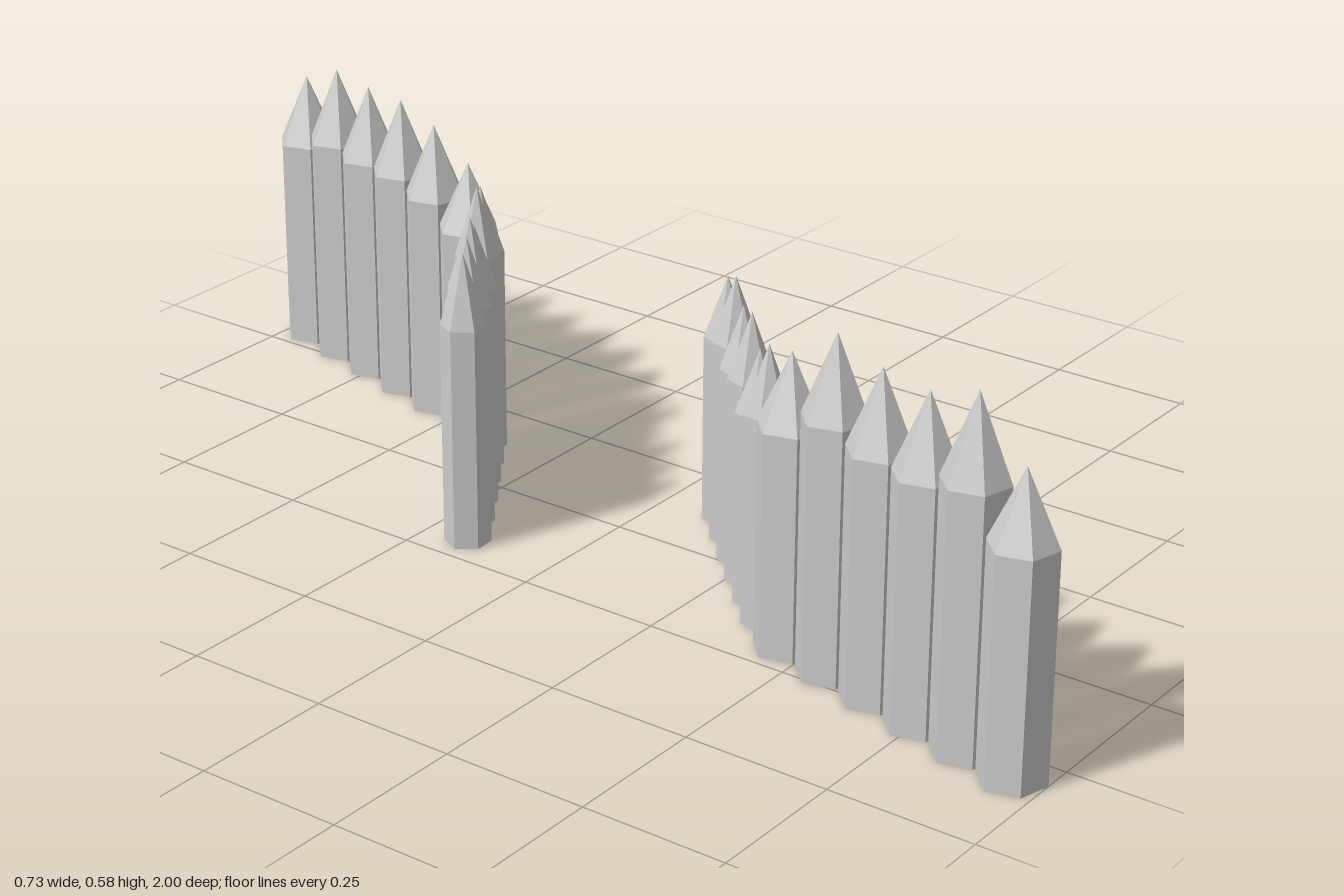
import * as THREE from 'three';

const material = new THREE.MeshStandardMaterial({ color: 0xcccccc, flatShading: true });
const SHOULDER = 0.757; // where the point starts, as a share of the stake height

// One six-sided stake with a closed foot and a sharpened top
function makeStake(radius, height) {
  const profile = [
    new THREE.Vector2(0, 0),
    new THREE.Vector2(radius, 0),
    new THREE.Vector2(radius, height * SHOULDER),
    new THREE.Vector2(0, height),
  ];
  const stake = new THREE.Mesh(new THREE.LatheGeometry(profile, 6), material);
  stake.name = 'stake';
  return stake;
}

// A straight run of stakes from one [x, z] to another, flat sides facing along the run
function makeRun(name, from, to, radius, heights) {
  const run = new THREE.Group();
  run.name = name;
  const turn = -Math.atan2(to[1] - from[1], to[0] - from[0]);
  heights.forEach((height, i) => {
    const t = i / (heights.length - 1);
    const stake = makeStake(radius, height);
    stake.position.set(
      THREE.MathUtils.lerp(from[0], to[0], t), 0,
      THREE.MathUtils.lerp(from[1], to[1], t));
    stake.rotation.y = turn;
    run.add(stake);
  });
  return run;
}

export function createModel() {
  const model = new THREE.Group();
  model.name = 'palisade';
  const THICK = 0.055, THIN = 0.039;

  // Front wall: thick outer stakes, then thin stakes beside the gap
  const frontWall = new THREE.Group();
  frontWall.name = 'frontWall';
  frontWall.add(
    makeRun('frontOuterRun', [-0.315, 0.947], [-0.18, 0.459], THICK,
      [0.5, 0.58, 0.545, 0.545, 0.565, 0.5]),
    makeRun('frontInnerRun', [-0.13, 0.383], [0.135, 0.118], THIN,
      [0.475, 0.435, 0.465, 0.445, 0.465, 0.435]));

  // Back wall: thin stakes beside the gap, then thick outer stakes
  const backWall = new THREE.Group();
  backWall.name = 'backWall';
  backWall.add(
    makeRun('backInnerRun', [-0.188, -0.17], [0.118, -0.383], THIN,
      [0.508, 0.508, 0.512, 0.47, 0.508, 0.48]),
    makeRun('backOuterRun', [0.178, -0.459], [0.314, -0.947], THICK,
      [0.487, 0.527, 0.545, 0.54, 0.545, 0.505]));

  model.add(frontWall, backWall);
  return model;
}
